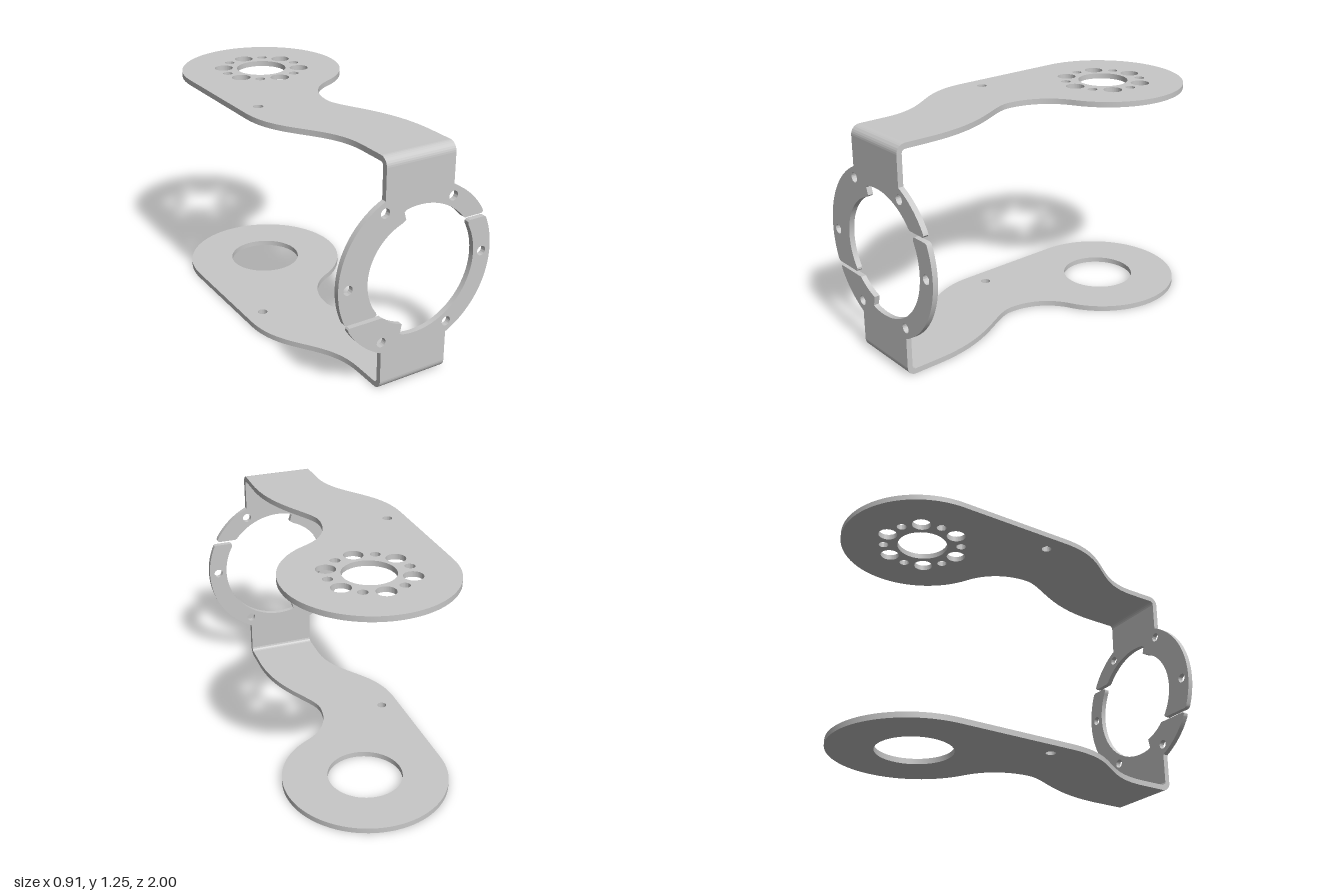
import * as THREE from 'three';
import { toCreasedNormals } from 'three/addons/utils/BufferGeometryUtils.js';

const T = 0.03;      // sheet thickness
const H = 1.25;      // overall height
const BEND = 0.05;   // outer bend radius
const CY = 0.627;    // ring centre height
const C = 0.545;     // distance of the arm's round end behind the middle
const R = 0.455;     // radius of the arm's round end and of the front ring

const metal = new THREE.MeshStandardMaterial({ color: 0xc8c8c8 });
metal.name = 'grey metal';

// Holes run counter to the clockwise outlines so their walls face inwards
function hole(shape, x, y, r) {
  const p = new THREE.Path();
  p.absarc(x, y, r, 0, Math.PI * 2, false);
  shape.holes.push(p);
}

function sheet(name, shape, depth = T) {
  const geo = new THREE.ExtrudeGeometry(shape, { depth, bevelEnabled: false, curveSegments: 28 });
  const mesh = new THREE.Mesh(toCreasedNormals(geo, 0.5), metal);
  mesh.name = name;
  return mesh;
}

// Curved arm plate, drawn clockwise with shape y = -z
function armShape() {
  const s = new THREE.Shape();
  s.moveTo(-0.2, -(1 - BEND));
  s.lineTo(-0.2, -0.8);
  s.bezierCurveTo(-0.2, -0.5, -R, -0.45, -R, -0.12);
  s.lineTo(-R, C);
  s.absarc(0, C, R, Math.PI, Math.atan2(-0.409, 0.2), true);
  s.bezierCurveTo(0.08, 0.08, 0.01, -0.03, 0.01, -0.17);
  s.bezierCurveTo(0.02, -0.3, 0.2, -0.45, 0.2, -0.8);
  s.lineTo(0.2, -(1 - BEND));
  s.closePath();
  hole(s, -0.35, -0.06, 0.027);
  return s;
}

function arm(name, shape, y) {
  const m = sheet(name, shape);
  m.rotation.x = -Math.PI / 2;
  m.position.y = y;
  return m;
}

// Quarter-round sheet bend between an arm and the front face
function bend(name, top) {
  const s = new THREE.Shape();
  s.absarc(0, 0, BEND, 0, Math.PI / 2, false);
  s.absarc(0, 0, BEND - T, Math.PI / 2, 0, true);
  s.closePath();
  const m = sheet(name, s, 0.4);
  m.geometry.translate(0, 0, -0.2);
  if (!top) m.geometry.rotateZ(-Math.PI / 2);
  m.geometry.rotateY(-Math.PI / 2);
  m.position.set(0, top ? H - BEND : BEND, 1 - BEND);
  return m;
}

// Arc around the ring centre between the directions of two points
function ringArc(s, r, from, to, clockwise) {
  const angle = ([x, y]) => Math.atan2(y - CY, x);
  s.absarc(0, CY, r, angle(from), angle(to), clockwise);
}

function lines(s, pts) {
  for (const [x, y] of pts) s.lineTo(x, y);
}

const WIDE = 0.348, NARROW = 0.29;   // the two inner radii of the ring

// Top tab with the left part of the ring
function upperFace() {
  const s = new THREE.Shape();
  s.moveTo(-0.2, H - BEND);
  s.lineTo(0.2, H - BEND);
  ringArc(s, R, [0.2, 1.036], [0.388, 0.865], true);
  lines(s, [[0.393, 0.85], [0.385, 0.84], [0.28, 0.84]]);
  ringArc(s, WIDE, [0.27, 0.848], [-0.075, 0.967], false);
  lines(s, [[-0.09, 0.955], [-0.078, 0.914]]);
  ringArc(s, NARROW, [-0.1, 0.9], [-0.235, 0.457], false);
  lines(s, [[-0.234, 0.446], [-0.242, 0.438], [-0.405, 0.438], [-0.413, 0.442]]);
  ringArc(s, R, [-0.417, 0.452], [-0.2, 1.036], true);
  s.closePath();
  for (const [x, y] of [[-0.2, 0.975], [0.2, 0.975], [-0.4, CY]]) hole(s, x, y, 0.026);
  return s;
}

// Bottom tab with the right part of the ring
function lowerFace() {
  const s = new THREE.Shape();
  s.moveTo(0.2, BEND);
  s.lineTo(-0.2, BEND);
  ringArc(s, R, [-0.2, 0.218], [-0.39, 0.398], true);
  lines(s, [[-0.395, 0.41], [-0.388, 0.418], [-0.2, 0.418]]);
  ringArc(s, NARROW, [-0.19, 0.408], [-0.1, 0.355], false);
  lines(s, [[-0.078, 0.347], [-0.09, 0.295]]);
  ringArc(s, WIDE, [-0.075, 0.287], [0.3, 0.793], false);
  lines(s, [[0.304, 0.81], [0.314, 0.818], [0.404, 0.818], [0.414, 0.814]]);
  ringArc(s, R, [0.418, 0.806], [0.2, 0.218], true);
  s.closePath();
  for (const [x, y] of [[-0.2, 0.28], [0.2, 0.28], [0.4, CY]]) hole(s, x, y, 0.026);
  return s;
}

export function createModel() {
  const g = new THREE.Group();
  g.name = 'mountingBracket';

  // Upper arm with centre bore and ring of alternating holes
  const upper = armShape();
  hole(upper, 0, C, 0.14);
  for (let i = 0; i < 12; i++) {
    const a = i * Math.PI / 6;
    hole(upper, 0.217 * Math.cos(a), C + 0.217 * Math.sin(a), i % 2 ? 0.052 : 0.027);
  }
  g.add(arm('upperArm', upper, H - T));

  // Lower arm with one large bore
  const lower = armShape();
  hole(lower, 0, C, 0.206);
  g.add(arm('lowerArm', lower, 0));

  // Split front ring
  const faces = [sheet('upperFrontRing', upperFace()), sheet('lowerFrontRing', lowerFace())];
  for (const f of faces) {
    f.position.z = 1 - T;
    g.add(f);
  }

  g.add(bend('upperBend', true), bend('lowerBend', false));
  return g;
}
